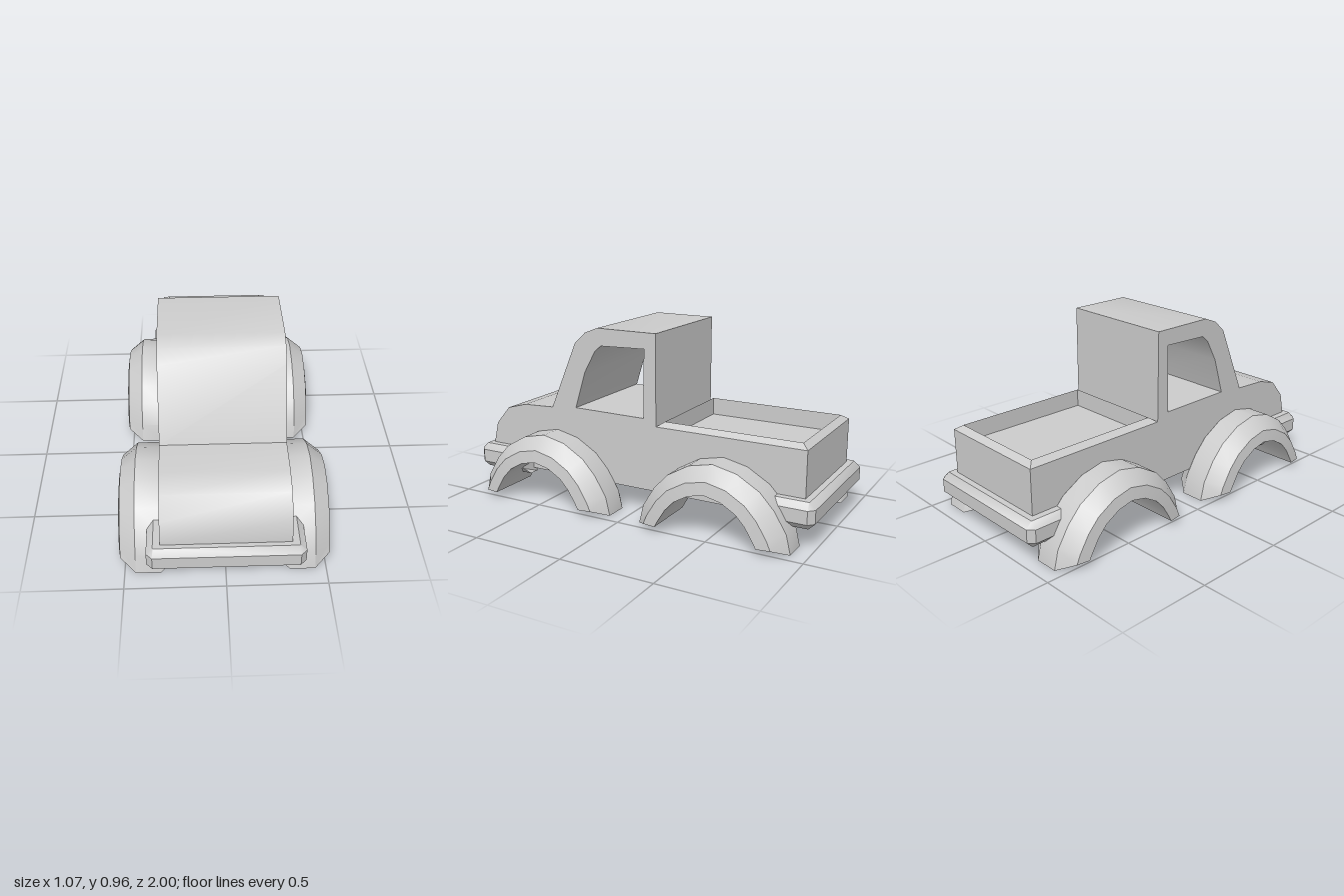
import * as THREE from 'three';
import { toCreasedNormals } from 'three/addons/utils/BufferGeometryUtils.js';

const material = new THREE.MeshStandardMaterial({ color: 0xcccccc });
const CREASE = 0.63;

function part(name, geometry) {
  const mesh = new THREE.Mesh(toCreasedNormals(geometry, CREASE), material);
  mesh.name = name;
  return mesh;
}

// Skin a run of convex sections; either looped or capped at both ends
function loft(sections, looped = false) {
  const n = sections[0].length, m = sections.length;
  const points = sections.flat().map((p) => new THREE.Vector3(...p));
  const faces = [];
  for (let i = 0; i < (looped ? m : m - 1); i++) {
    for (let j = 0; j < n; j++) {
      const a = i * n + j, b = i * n + ((j + 1) % n);
      const c = ((i + 1) % m) * n + ((j + 1) % n), d = ((i + 1) % m) * n + j;
      faces.push([a, b, c], [a, c, d]);
    }
  }
  if (!looped) {
    const e = (m - 1) * n;
    for (let j = 1; j < n - 1; j++) faces.push([0, j + 1, j], [e, e + j, e + j + 1]);
  }
  // Turn the faces outward if the enclosed volume comes out negative
  const volume = faces.reduce((sum, [a, b, c]) =>
    sum + points[a].dot(points[b].clone().cross(points[c])), 0);
  if (volume < 0) faces.forEach((f) => f.reverse());
  const geometry = new THREE.BufferGeometry().setFromPoints(points);
  geometry.setIndex(faces.flat());
  return geometry;
}

const outline = (list) => list.map(([z, y]) => new THREE.Vector2(z, y));

// Side profile of bonnet, cab and bed floor, with the window cut through
function bodyGeometry(halfWidth) {
  const shape = new THREE.Shape(outline([
    [-0.935, 0.13], [0.944, 0.13], [0.944, 0.247], [0.917, 0.36], [0.831, 0.46],
    [0.713, 0.493], [0.525, 0.502], [0.365, 0.87], [0.3, 0.93], [0.225, 0.96],
    [-0.123, 0.96], [-0.123, 0.41], [-0.935, 0.41],
  ]));
  shape.holes.push(new THREE.Path(outline([
    [0.37, 0.518], [0.306, 0.72], [0.241, 0.836], [0.204, 0.868], [-0.055, 0.876], [-0.05, 0.515],
  ])));
  const geometry = new THREE.ExtrudeGeometry(shape, { depth: 2 * halfWidth, bevelEnabled: false });
  geometry.rotateY(-Math.PI / 2);
  geometry.translate(halfWidth, 0, 0);
  return geometry;
}

// Four bed walls with a rim that slopes up towards the inside
function bedGeometry(halfWidth) {
  const back = -0.935, front = -0.123, wall = 0.035;
  const section = [[0, 0.405], [0, 0.48], [wall, 0.504], [wall, 0.405]];
  const corners = [[1, 1], [-1, 1], [-1, -1], [1, -1]];
  return loft(corners.map(([sx, sz]) => section.map(([inset, y]) =>
    [sx * (halfWidth - inset), y, sz > 0 ? front - inset : back + inset])), true);
}

// Wheel arch: hexagonal section swept over a half round that flares at its feet
function fenderGeometry(side, centerZ) {
  const quarter = [[0.41, 0], [0.386, 0.1], [0.322, 0.204], [0.247, 0.284], [0.129, 0.352]];
  const path = [...quarter, [0, 0.38], ...quarter.map(([z, y]) => [-z, y]).reverse()];
  const section = [[0.32, 1], [0.445, 1], [0.525, 0.83], [0.535, 0.66], [0.235, 0.66], [0.235, 0.83]];
  return loft(path.map(([z, y]) => section.map(([x, s]) =>
    [side * x, y * s + (y === 0 && s < 1 ? 0.036 : 0), centerZ + z * s])));
}

// Bumper: chamfered bar across the end with arms wrapping along the sides
function bumperGeometry(end) {
  const section = [[0, 0.14], [0, 0.21], [0.033, 0.242], [0.09, 0.242], [0.09, 0.107], [0.033, 0.107]];
  const tip = 0.665;
  const stations = [
    (x, z, c, o) => [x, tip + (o === 0 ? 0.025 : 0)],
    (x, z, c) => [x, z - c],
    (x, z, c) => [x - c, z],
  ];
  const half = stations.map((at) => section.map(([o, y]) => {
    const [x, z] = at(0.385 - o, 1 - o, o === 0 ? 0.03 : 0.004, o);
    return [x, y, end * z];
  }));
  const mirrored = half.map((s) => s.map(([x, y, z]) => [-x, y, z])).reverse();
  return loft([...half, ...mirrored]);
}

export function createModel() {
  const truck = new THREE.Group();
  truck.name = 'pickupTruck';
  const halfWidth = 0.317;

  truck.add(part('bodyAndCab', bodyGeometry(halfWidth)));
  truck.add(part('bedWalls', bedGeometry(halfWidth)));

  for (const [endName, end, centerZ] of [['front', 1, 0.493], ['rear', -1, -0.507]]) {
    truck.add(part(`${endName}Bumper`, bumperGeometry(end)));
    for (const [sideName, side] of [['Left', 1], ['Right', -1]]) {
      truck.add(part(`${endName}${sideName}Fender`, fenderGeometry(side, centerZ)));
    }
  }
  return truck;
}
